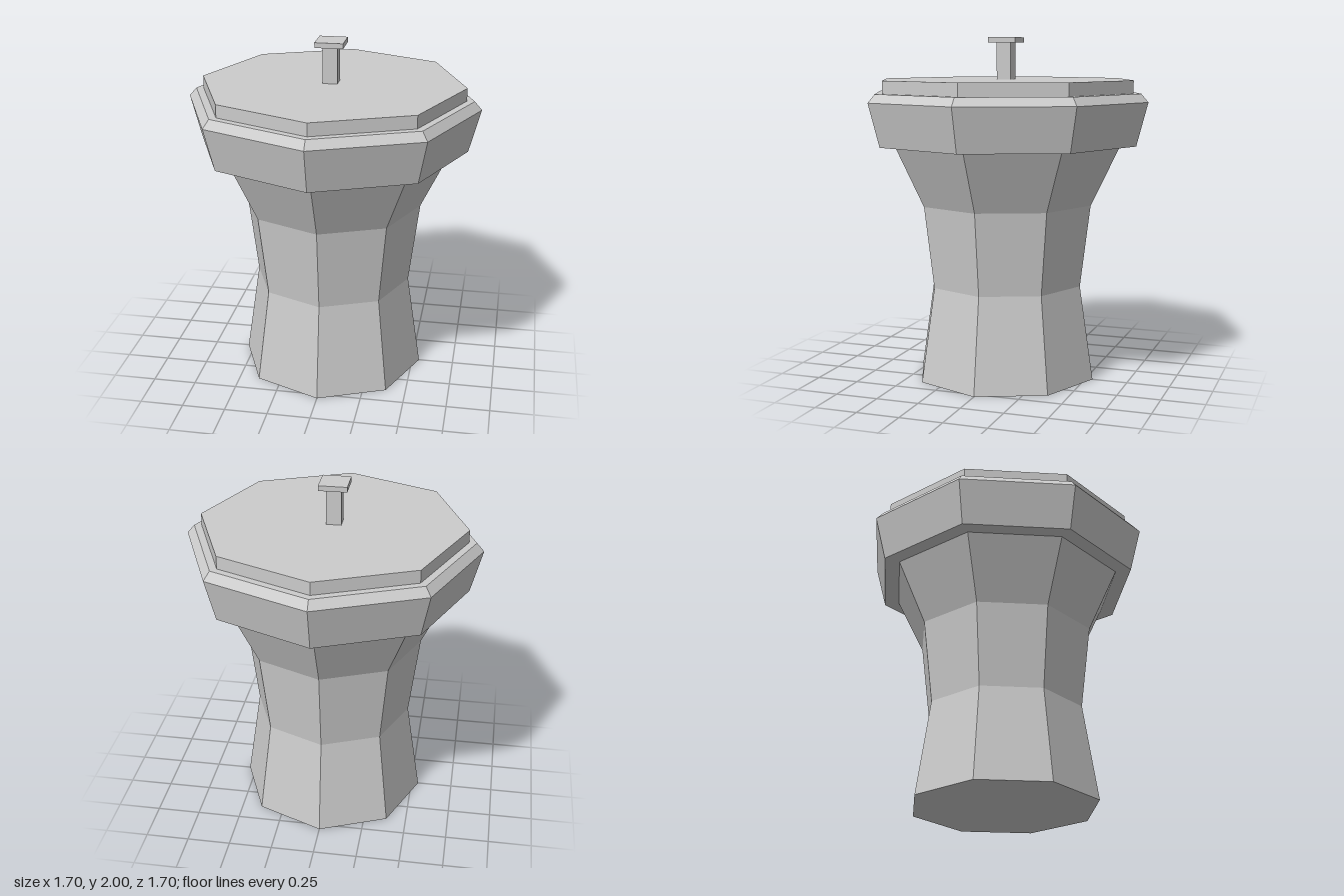
import * as THREE from 'three';

const material = new THREE.MeshStandardMaterial({ color: 0xcccccc, flatShading: true });

export function createModel() {
  const group = new THREE.Group();

  const add = (name, geometry, x = 0, y = 0, z = 0) => {
    const mesh = new THREE.Mesh(geometry, material);
    mesh.name = name;
    mesh.position.set(x, y, z);
    group.add(mesh);
  };

  // Eight-sided turned part with corners on the x and z axes, profile given bottom to top
  const octagonal = (name, profile) =>
    add(name, new THREE.LatheGeometry(profile.map(([r, y]) => new THREE.Vector2(r, y)), 8));

  // Waisted pot with a closed base
  octagonal('body', [[0, 0], [0.543, 0], [0.46, 0.555], [0.52, 1.035], [0.69, 1.385]]);

  // Overhanging collar with a bevelled upper edge
  octagonal('rim', [[0.69, 1.385], [0.782, 1.385], [0.848, 1.635], [0.806, 1.683], [0.762, 1.683]]);

  // Flat lid
  octagonal('lid', [[0.762, 1.683], [0.762, 1.757], [0, 1.757]]);

  // Square handle, slightly off centre
  add('handleStem', new THREE.BoxGeometry(0.085, 0.215, 0.085), -0.009, 1.8625, 0.001);
  add('handleCap', new THREE.BoxGeometry(0.162, 0.03, 0.166), -0.009, 1.985, 0);

  return group;
}
